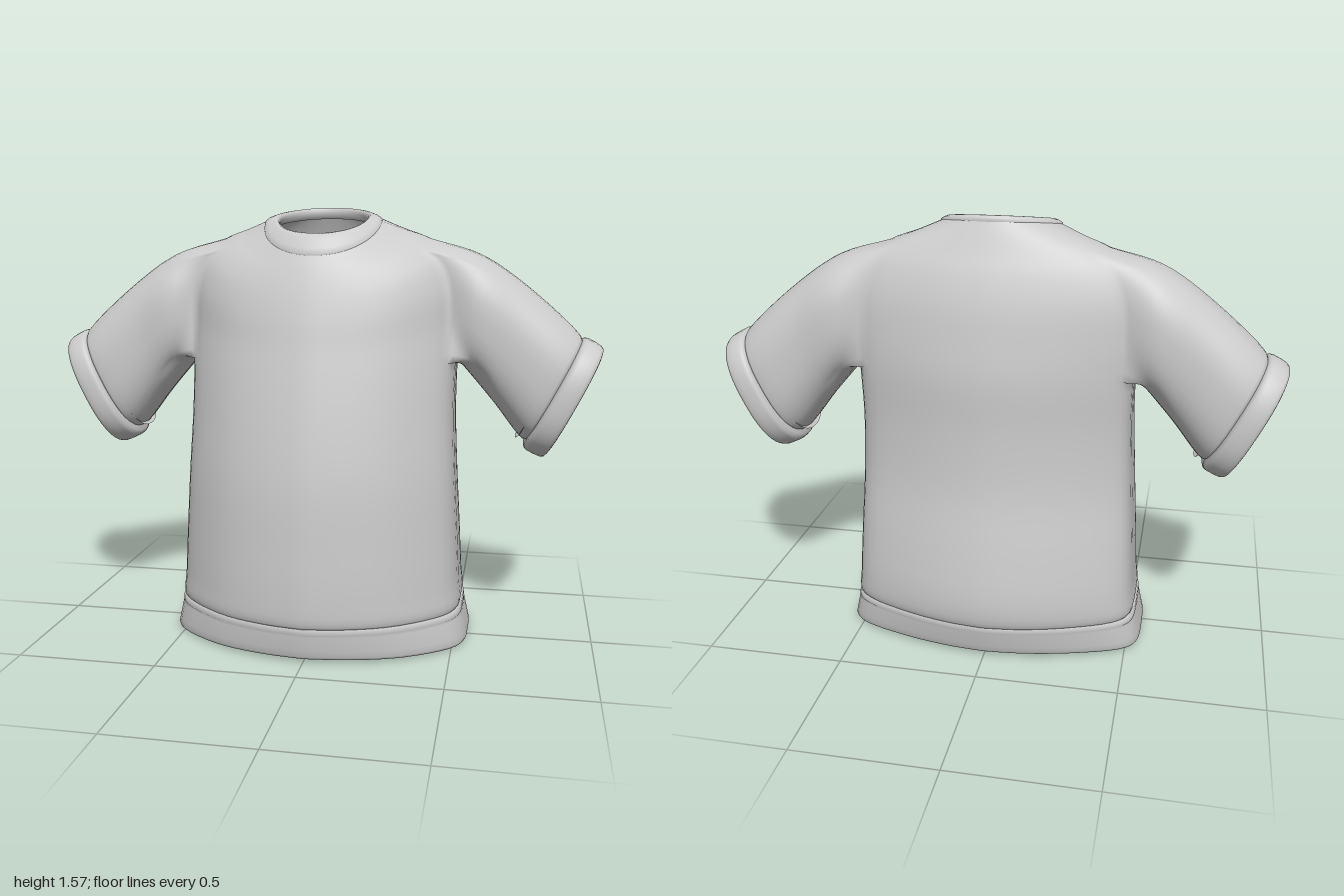
import * as THREE from 'three';

const COLS = 64, STEPS = 4;
const material = new THREE.MeshStandardMaterial({ color: 0xcccccc, side: THREE.DoubleSide });
const V = (x, y, z) => new THREE.Vector3(x, y, z);
const soft = (v, n) => Math.sign(v) * Math.abs(v) ** (2 / n);

// Quarter outlines of the torso from side to centre: soft front, squarer back corner
const quarter = (pairs) => new THREE.SplineCurve(pairs.map(([u, w]) => new THREE.Vector2(u, w)));
const FRONT = quarter([[1, 0], [0.995, 0.18], [0.95, 0.37], [0.85, 0.53], [0.71, 0.685],
  [0.56, 0.81], [0.39, 0.9], [0.2, 0.965], [0, 1]]);
const BACK = quarter([[1, 0], [1, 0.28], [0.985, 0.49], [0.93, 0.62], [0.82, 0.72],
  [0.66, 0.81], [0.46, 0.9], [0.23, 0.97], [0, 1]]);

// Point on a section: side (x, y, z), front (y, z), back (y, z), and 0 oval .. 1 torso outline
function sectionPoint([sx, sy, sz, fy, fz, by, bz, box], j) {
  const a = (j / COLS) * Math.PI * 2;
  const q = Math.asin(Math.min(1, Math.abs(Math.sin(a)))) / (Math.PI / 2);
  const isFront = Math.sin(a) > 0;
  const oval = new THREE.Vector2(Math.abs(Math.cos(a)), Math.abs(Math.sin(a)));
  const { x: u, y: w } = oval.lerp((isFront ? FRONT : BACK).getPoint(q), box);
  const [ey, ez] = isFront ? [fy, fz] : [by, bz];
  return V(sx * u * Math.sign(Math.cos(a)), sy + (ey - sy) * w ** (1 + box), sz + (ez - sz) * w);
}
const sectionLoop = (row) => Array.from({ length: COLS }, (_, j) => sectionPoint(row, j));

// Point on a sleeve section between a top and a bottom point
function sleevePoint([tx, ty, bx, by, hz], theta, grow = 0, along = 0) {
  const axis = V(tx - bx, ty - by, 0), half = axis.length() / 2;
  axis.normalize();
  const p = V((tx + bx) / 2, (ty + by) / 2, -0.083);
  p.addScaledVector(axis, (half + grow) * soft(Math.sin(theta), 2.4));
  p.addScaledVector(V(axis.y, -axis.x, 0), along);
  p.z += (hz + grow) * soft(Math.cos(theta), 2.4);
  return p;
}

function pushQuad(index, a, b, c, d, flip) {
  if (flip) index.push(a, c, b, a, d, c);
  else index.push(a, b, c, a, c, d);
}

function makeMesh(name, points, index) {
  const geometry = new THREE.BufferGeometry().setFromPoints(points);
  geometry.setIndex(index);
  geometry.computeVertexNormals();
  const mesh = new THREE.Mesh(geometry, material);
  mesh.name = name;
  return mesh;
}

// Band made of closed loops of equal length
function band(name, loops, flip = false) {
  const n = loops[0].length, index = [];
  for (let r = 0; r < loops.length - 1; r++) {
    for (let j = 0; j < n; j++) {
      const k = (j + 1) % n;
      pushQuad(index, r * n + j, (r + 1) * n + j, (r + 1) * n + k, r * n + k, flip);
    }
  }
  return makeMesh(name, loops.flat(), index);
}

// Torso sections from hem to neckline
const TORSO = [
  [0.50, 0.12, 0, 0.12, 0.385, 0.12, -0.375, 1],
  [0.52, 0.136, 0, 0.136, 0.40, 0.136, -0.392, 1],
  [0.515, 0.22, 0, 0.22, 0.406, 0.22, -0.402, 1],
  [0.505, 0.40, 0, 0.40, 0.40, 0.40, -0.38, 1],
  [0.492, 0.62, 0, 0.62, 0.385, 0.62, -0.343, 1],
  [0.482, 0.84, -0.02, 0.82, 0.353, 0.84, -0.33, 1],
  [0.483, 1.03, -0.05, 0.98, 0.32, 1.03, -0.33, 1],
  [0.485, 1.16, -0.08, 1.08, 0.297, 1.16, -0.315, 0.95],
  [0.48, 1.30, -0.09, 1.17, 0.277, 1.28, -0.295, 0.85],
  [0.445, 1.40, -0.09, 1.25, 0.255, 1.38, -0.265, 0.65],
  [0.38, 1.455, -0.08, 1.31, 0.235, 1.45, -0.235, 0.45],
  [0.29, 1.487, -0.05, 1.36, 0.215, 1.51, -0.21, 0.2],
  [0.21, 1.515, -0.01, 1.40, 0.195, 1.55, -0.192, 0],
];
// Armhole block in the torso grid: rows and columns
const R0 = 6 * STEPS, R1 = 10 * STEPS, J0 = -6, J1 = 4;
// Sleeve sections: top x, y, bottom x, y, half depth
const SLEEVE = [
  [0.56, 1.40, 0.535, 0.97, 0.172],
  [0.72, 1.295, 0.62, 0.87, 0.168],
  [0.915, 1.12, 0.728, 0.738, 0.166],
  [0.925, 1.10, 0.74, 0.74, 0.155],
];
const CUFF = [0.926, 1.10, 0.733, 0.717, 0.164];

// Torso with both sleeves growing out of its armholes, as one smooth surface
function makeBody() {
  const points = [], index = [];
  const rows = (TORSO.length - 1) * STEPS;
  const curves = Array.from({ length: COLS }, (_, j) =>
    new THREE.CatmullRomCurve3(TORSO.map((row) => sectionPoint(row, j))));
  for (let r = 0; r <= rows; r++) {
    for (let j = 0; j < COLS; j++) points.push(curves[j].getPoint(r / rows));
  }
  const id = (r, j) => r * COLS + ((j + COLS) % COLS);
  const inHole = (r, j) => {
    const c = j >= COLS / 2 ? j - COLS : j;
    const m = COLS / 2 - 1 - j;
    return r >= R0 && r < R1 && ((c >= J0 && c < J1) || (m >= J0 && m < J1));
  };
  for (let r = 0; r < rows; r++) {
    for (let j = 0; j < COLS; j++) {
      if (!inHole(r, j)) pushQuad(index, id(r, j), id(r + 1, j), id(r + 1, j + 1), id(r, j + 1));
    }
  }

  // Armhole outline, walked once around
  const outline = [];
  for (let j = J0; j < J1; j++) outline.push([R0, j]);
  for (let r = R0; r < R1; r++) outline.push([r, J1]);
  for (let j = J1; j > J0; j--) outline.push([R1, j]);
  for (let r = R1; r > R0; r--) outline.push([r, J0]);

  const n = outline.length, sleeveRows = SLEEVE.length * 5;
  const sleeveCurves = outline.map(([r, j]) => {
    const p = points[id(r, j)];
    const theta = Math.atan2((p.y - 1.235) / 0.215, (p.z + 0.083) / 0.17);
    return new THREE.CatmullRomCurve3([p, ...SLEEVE.map((s) => sleevePoint(s, theta))]);
  });
  for (const side of [1, -1]) {
    let previous = outline.map(([r, j]) => id(r, side > 0 ? j : COLS / 2 - j));
    for (let k = 1; k <= sleeveRows; k++) {
      const ring = sleeveCurves.map((curve) => {
        const p = curve.getPoint(k / sleeveRows);
        p.x *= side;
        return points.push(p) - 1;
      });
      for (let i = 0; i < n; i++) {
        const m = (i + 1) % n;
        pushQuad(index, previous[i], ring[i], ring[m], previous[m], side < 0);
      }
      previous = ring;
    }
  }
  return makeMesh('shirtBody', points, index);
}

// Turned sleeve end: profile of [distance along sleeve, offset outward]
function makeCuff(name, side) {
  const profile = [[-0.008, -0.025], [-0.004, 0], [0.004, 0.010], [0.016, 0.014], [0.045, 0.014],
    [0.066, 0.012], [0.077, 0.007], [0.080, -0.002], [0.075, -0.011], [0.06, -0.015],
    [0.015, -0.019], [0.004, -0.026], [-0.03, -0.028], [-0.04, -0.008]];
  const loops = profile.map(([along, grow]) => Array.from({ length: 48 }, (_, i) => {
    const p = sleevePoint(CUFF, (i / 48) * Math.PI * 2, grow, along);
    p.x *= side;
    return p;
  }));
  return band(name, loops, side < 0);
}

export function createModel() {
  const model = new THREE.Group();
  model.name = 'shirt';
  model.add(makeBody());

  // Flared hem with a seam step and an inner facing
  model.add(band('hemBand', [
    [0.497, 0.136, 0, 0.136, 0.38, 0.136, -0.37, 1],
    [0.518, 0.131, 0, 0.131, 0.391, 0.131, -0.381, 1],
    [0.527, 0.124, 0, 0.124, 0.396, 0.124, -0.386, 1],
    [0.529, 0.108, 0, 0.108, 0.396, 0.108, -0.386, 1],
    [0.526, 0.104, 0, 0.104, 0.392, 0.104, -0.382, 1],
    [0.530, 0.099, 0, 0.099, 0.394, 0.099, -0.384, 1],
    [0.545, 0.035, 0, 0.045, 0.386, 0.045, -0.371, 1],
    [0.550, 0.012, 0, 0.022, 0.381, 0.024, -0.366, 1],
    [0.545, 0.002, 0, 0.013, 0.376, 0.015, -0.36, 1],
    [0.530, 0.000, 0, 0.012, 0.366, 0.014, -0.35, 1],
    [0.518, 0.010, 0, 0.02, 0.36, 0.022, -0.344, 1],
    [0.500, 0.09, 0, 0.09, 0.367, 0.09, -0.356, 1],
    [0.494, 0.13, 0, 0.13, 0.378, 0.13, -0.368, 1],
  ].map(sectionLoop), true));

  // Collar rolling from the neckline over into the neck opening
  model.add(band('collar', [
    [0.212, 1.508, -0.01, 1.394, 0.194, 1.545, -0.194, 0],
    [0.211, 1.519, -0.01, 1.404, 0.198, 1.553, -0.195, 0],
    [0.198, 1.528, -0.01, 1.422, 0.19, 1.559, -0.192, 0],
    [0.18, 1.534, -0.012, 1.452, 0.172, 1.565, -0.186, 0],
    [0.168, 1.534, -0.015, 1.471, 0.157, 1.566, -0.181, 0],
    [0.161, 1.528, -0.018, 1.474, 0.146, 1.561, -0.176, 0],
    [0.160, 1.515, -0.018, 1.466, 0.141, 1.548, -0.174, 0],
    [0.172, 1.495, -0.015, 1.435, 0.15, 1.525, -0.178, 0],
    [0.205, 1.495, -0.01, 1.392, 0.185, 1.53, -0.19, 0],
  ].map(sectionLoop)));

  model.add(makeCuff('leftCuff', 1), makeCuff('rightCuff', -1));
  return model;
}
